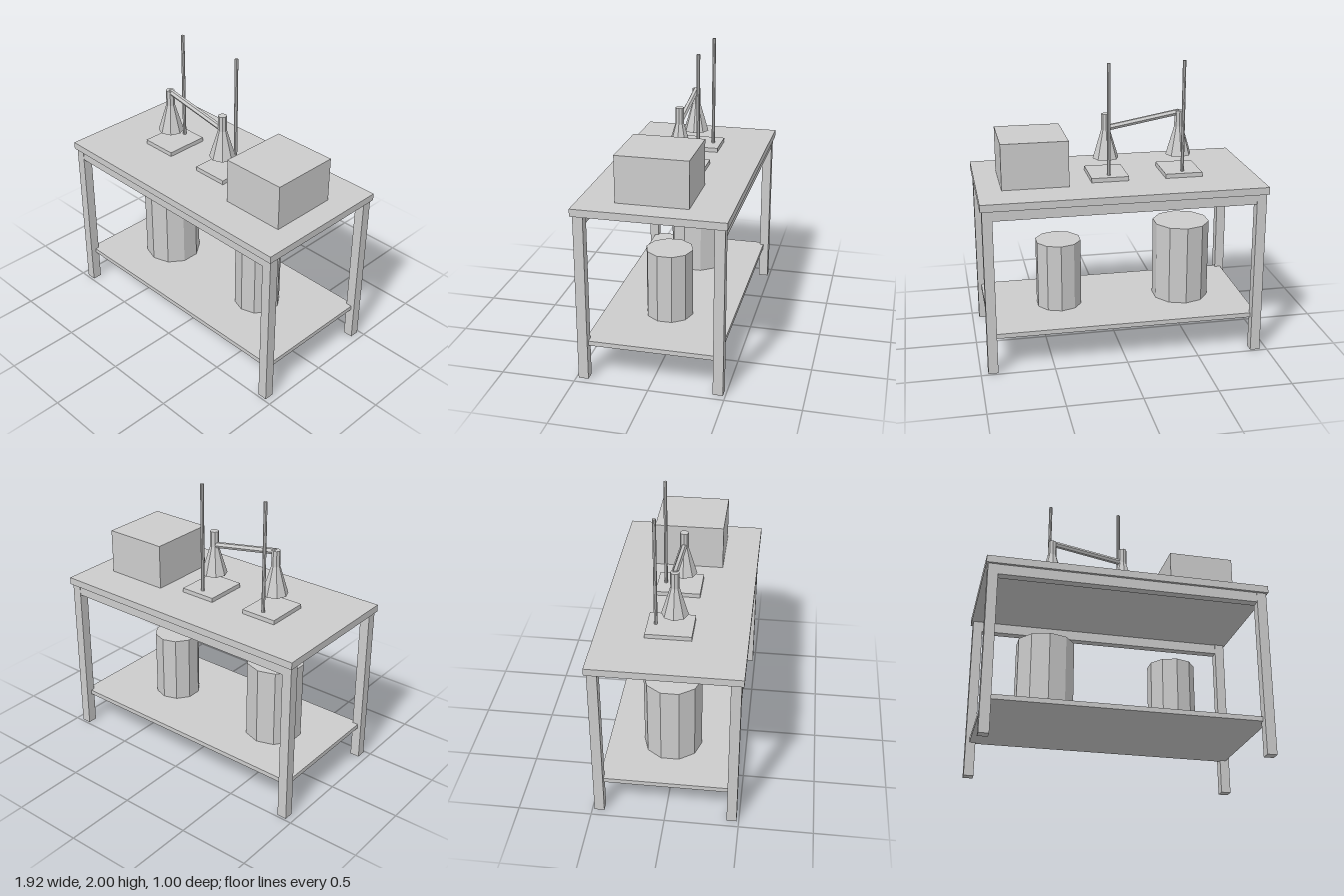
import * as THREE from 'three';

export function createModel() {
  const model = new THREE.Group();
  const grey = new THREE.MeshStandardMaterial({ color: 0xcccccc, flatShading: true });
  grey.name = 'plain grey';

  const add = (name, geometry, x, y, z) => {
    const mesh = new THREE.Mesh(geometry, grey);
    mesh.name = name;
    mesh.position.set(x, y, z);
    model.add(mesh);
    return mesh;
  };
  // Box and upright prism placed by the height of their bottom and top
  const box = (name, w, d, y0, y1, x, z) =>
    add(name, new THREE.BoxGeometry(w, y1 - y0, d), x, (y0 + y1) / 2, z);
  const prism = (name, rTop, rBottom, sides, y0, y1, x, z) =>
    add(name, new THREE.CylinderGeometry(rTop, rBottom, y1 - y0, sides), x, (y0 + y1) / 2, z);

  // Bench: top, lower shelf let into the legs, legs and long rails
  box('benchTop', 1.925, 1, 1.15, 1.2, 0, 0);
  box('lowerShelf', 1.85, 0.89, 0.235, 0.267, 0, 0);
  for (const side of [-1, 1]) {
    const end = side > 0 ? 'front' : 'back';
    box(end + 'Rail', 1.78, 0.06, 1.08, 1.15, 0, side * 0.452);
    for (const x of [-0.917, 0.917]) {
      box(end + (x > 0 ? 'LeftLeg' : 'RightLeg'), 0.067, 0.067, 0, 1.15, x, side * 0.451);
    }
  }

  // Canisters on the shelf
  prism('largeCanister', 0.2, 0.2, 10, 0.267, 0.83, -0.487, 0);
  prism('smallCanister', 0.161, 0.161, 10, 0.267, 0.747, 0.4, 0);

  // Equipment box on the bench
  box('equipmentBox', 0.453, 0.482, 1.2, 1.515, 0.572, 0.014);

  // Two stands, each with a base, a rod and a conical flask held above the base
  for (const x of [-0.459, 0.056]) {
    box('standBase', 0.258, 0.308, 1.2, 1.23, x, -0.018);
    prism('standRod', 0.012, 0.012, 8, 1.2, 2, x, -0.115);
    const profile = [[0, 1.32], [0.09, 1.32], [0.03, 1.52], [0.03, 1.63], [0, 1.63]];
    add('flask', new THREE.LatheGeometry(profile.map(p => new THREE.Vector2(...p)), 8), x, 0, 0.012);
  }

  // Sloping tube joining the flask necks
  const from = new THREE.Vector3(-0.459, 1.62, 0.012);
  const to = new THREE.Vector3(0.056, 1.528, 0.012);
  const along = to.clone().sub(from);
  const tube = add('connectingTube', new THREE.CylinderGeometry(0.021, 0.021, along.length(), 6), 0, 0, 0);
  tube.position.copy(from).add(to).multiplyScalar(0.5);
  tube.quaternion.setFromUnitVectors(new THREE.Vector3(0, 1, 0), along.normalize());

  return model;
}
